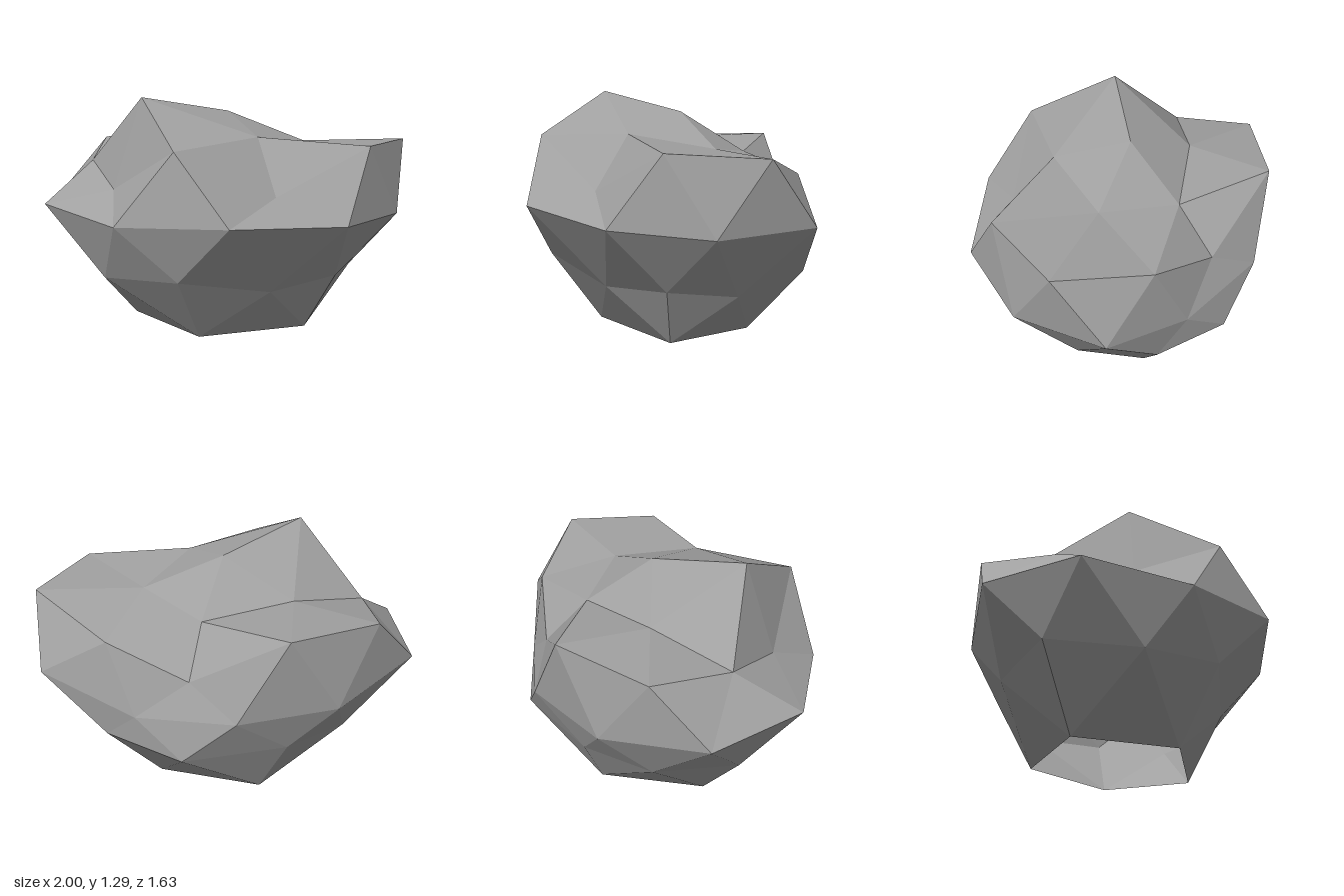
import * as THREE from 'three';

// Horizontal rings of a distorted icosphere, each running from +x towards +z.
const CROWN = [0, 1.19, -0.09];
const SHOULDER = [[0.43, 1.02, -0.09], [0.155, 1.09, 0.29], [-0.46, 1.29, 0.19], [-0.35, 1.01, -0.31], [0.14, 0.965, -0.42]];
const UPPER = [[1, 1.03, -0.09], [0.24, 0.81, 0.51], [-0.61, 0.81, 0.28], [-0.75, 0.98, -0.55], [0.22, 0.74, -0.64]];
const UPPER_MID = [[0.74, 1.05, 0.35], [-0.27, 1.065, 0.64], [-0.77, 0.91, -0.09], [-0.26, 1.02, -0.79], [0.63, 0.895, -0.47]];
const BELT = [
  [0.93, 0.65, 0.16], [0.6, 0.675, 0.59], [0, 0.715, 0.81], [-0.58, 0.675, 0.59], [-1, 0.71, 0.18],
  [-1, 0.68, -0.36], [-0.53, 0.595, -0.72], [0, 0.59, -0.82], [0.5, 0.53, -0.61], [0.98, 0.68, -0.36],
];
const LOWER = [[0.585, 0.325, 0.26], [-0.26, 0.385, 0.6], [-0.86, 0.39, -0.09], [-0.28, 0.35, -0.68], [0.65, 0.375, -0.505]];
const LOWER_MID = [[0.71, 0.295, -0.08], [0.22, 0.29, 0.45], [-0.66, 0.345, 0.36], [-0.62, 0.33, -0.46], [0.27, 0.34, -0.75]];
const BASE = [[0.43, 0, 0.17], [-0.16, 0, 0.34], [-0.54, 0, -0.09], [-0.16, 0, -0.525], [0.37, 0, -0.33]];

function rockGeometry() {
  const positions = [];
  const face = (...corners) => corners.forEach((p) => positions.push(...p));
  for (let k = 0; k < 5; k++) {
    const n = (k + 1) % 5, p = (k + 4) % 5;
    const right = BELT[(2 * k + 9) % 10], mid = BELT[2 * k], left = BELT[2 * k + 1];

    // crown and shoulders
    face(CROWN, SHOULDER[n], SHOULDER[k]);
    face(SHOULDER[k], SHOULDER[n], UPPER_MID[k]);
    face(UPPER[k], SHOULDER[k], UPPER_MID[k]);
    face(UPPER_MID[k], SHOULDER[n], UPPER[n]);

    // upper sides down to the belt
    face(UPPER[k], UPPER_MID[k], mid);
    face(UPPER_MID[k], left, mid);
    face(UPPER_MID[k], UPPER[n], left);
    face(UPPER[k], mid, right);

    // lower sides
    face(mid, left, LOWER[k]);
    face(right, mid, LOWER_MID[k]);
    face(right, LOWER_MID[k], LOWER[p]);
    face(mid, LOWER[k], LOWER_MID[k]);

    // foot, left open underneath
    face(LOWER[p], LOWER_MID[k], BASE[p]);
    face(LOWER_MID[k], BASE[k], BASE[p]);
    face(LOWER_MID[k], LOWER[k], BASE[k]);
  }
  const geometry = new THREE.BufferGeometry();
  geometry.setAttribute('position', new THREE.Float32BufferAttribute(positions, 3));
  geometry.computeVertexNormals();
  return geometry;
}

export function createModel() {
  const stone = new THREE.MeshStandardMaterial({ color: 0xa0a0a0, flatShading: true, side: THREE.DoubleSide });
  stone.name = 'grey stone';
  const rock = new THREE.Mesh(rockGeometry(), stone);
  rock.name = 'rock';
  const group = new THREE.Group();
  group.name = 'boulder';
  group.add(rock);
  return group;
}
